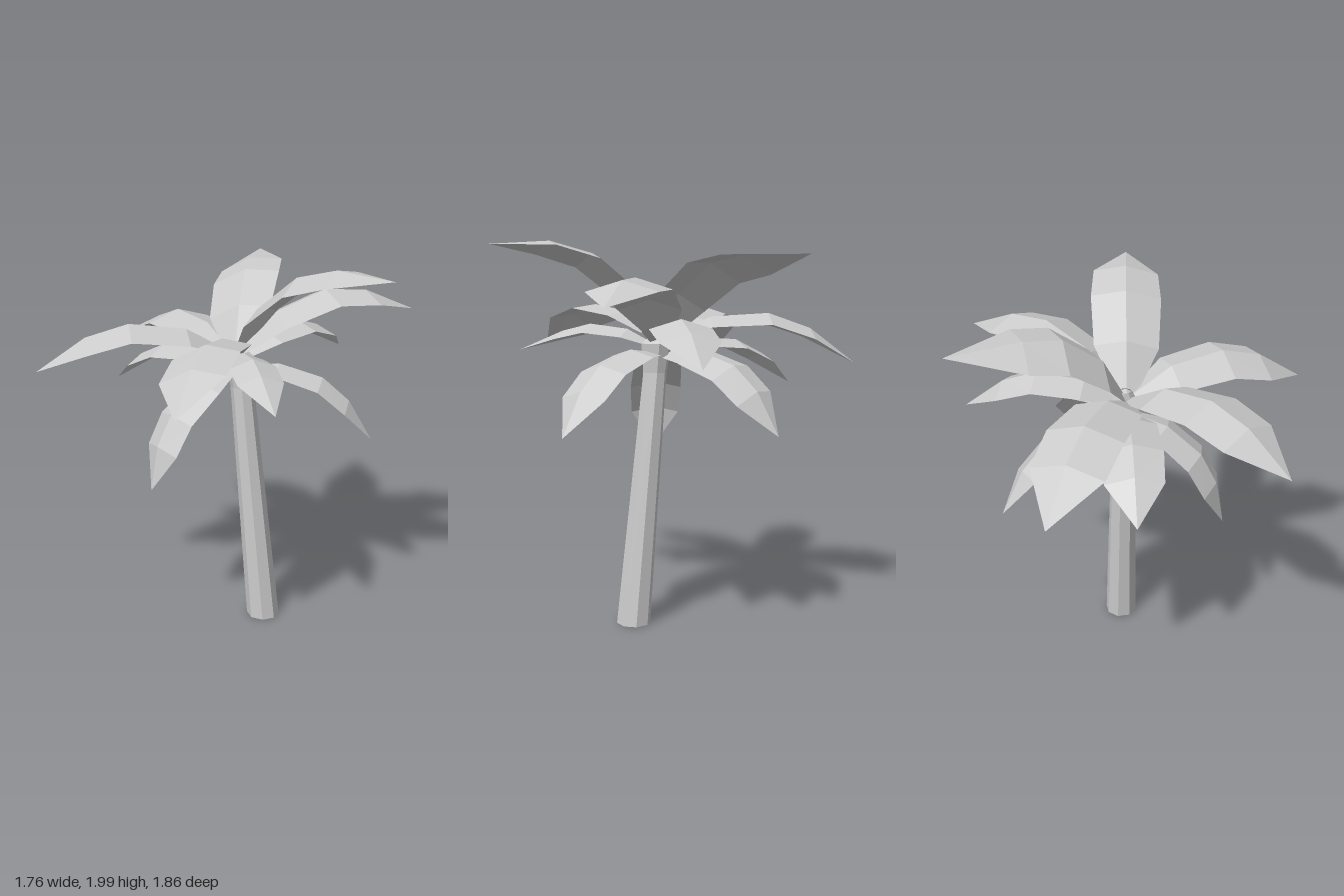
import * as THREE from 'three';

const material = new THREE.MeshStandardMaterial({ color: 0xcccccc, flatShading: true, side: THREE.DoubleSide });

// Leaning eight-sided trunk, open below, that flares under the crown and narrows to a small bud
function makeTrunk() {
  const rings = [ // y, centre x, radius
    [1.55, 0.0, 0.03],
    [1.48, 0.037, 0.08],
    [1.33, 0.047, 0.062],
    [0, 0.183, 0.09],
  ];
  const geometry = new THREE.CylinderGeometry(1, 1, 1, 8, 3, true).rotateY(Math.PI / 8);
  const p = geometry.attributes.position;
  for (let i = 0; i < p.count; i++) {
    const [y, cx, r] = rings[Math.round((0.5 - p.getY(i)) * 3)];
    p.setXYZ(i, cx + p.getX(i) * r, y, -0.06 + p.getZ(i) * r);
  }
  geometry.computeVertexNormals();
  const trunk = new THREE.Mesh(geometry, material);
  trunk.name = 'trunk';
  return trunk;
}

// Frond cross-sections as fractions of length: distance along, arch height, half width, ridge drop
const sections = [
  [0, 0, 0.035, 0.01],
  [0.24, 0.16, 0.165, 0.05],
  [0.525, 0.213, 0.182, 0.055],
  [0.745, 0.16, 0.172, 0.05],
  [1, 0, 0, 0],
];

// Arched, ridged leaf from a base point to a tip. roll tilts one edge down;
// width and bend scale the section; reach pulls the middle sections to the base
function makeFrond(baseY, tip, { roll = 0, width = 1, bend = 1, reach = 1 } = {}) {
  const base = new THREE.Vector3(0.01, baseY, -0.05);
  const along = new THREE.Vector3(...tip).sub(base);
  const length = along.length();
  along.normalize();
  const side = new THREE.Vector3(0, 1, 0).cross(along).normalize();
  const up = along.clone().cross(side);

  const geometry = new THREE.PlaneGeometry(1, 1, 2, 4);
  const p = geometry.attributes.position;
  for (let i = 0; i < p.count; i++) {
    const [t, arch, half, drop] = sections[Math.floor(i / 3)];
    const s = (i % 3) - 1;
    const x = s * half * width;
    const y = arch * bend - drop * Math.abs(s) + x * roll;
    const z = t < 1 ? t * reach : 1;
    p.setXYZ(i, x * length, y * length, z * length);
  }
  geometry.applyMatrix4(new THREE.Matrix4().makeBasis(side, up, along).setPosition(base));
  geometry.computeVertexNormals();
  const frond = new THREE.Mesh(geometry, material);
  frond.name = 'frond';
  return frond;
}

export function createModel() {
  const palm = new THREE.Group();
  palm.name = 'palmTree';
  palm.add(makeTrunk());

  const crown = new THREE.Group();
  crown.name = 'crown';
  const fronds = [ // base height, tip, shape
    // raised
    [1.5, [-0.23, 1.91, -0.93], { roll: -0.28, reach: 0.88 }],
    [1.5, [0.88, 1.97, 0.12], { roll: 0.1 }],
    [1.5, [0.75, 1.67, -0.76], { width: 0.96 }],
    // spreading
    [1.5, [0.18, 1.46, 0.93], { roll: 0.2, width: 0.92, bend: 0.95 }],
    [1.5, [-0.83, 1.45, 0.53], { bend: 0.95 }],
    [1.49, [-0.88, 1.37, -0.58], { bend: 0.95 }],
    [1.46, [0.51, 1.43, 0.61], { width: 0.78, bend: 0.75, reach: 0.9 }],
    [1.47, [0.31, 1.4, -0.85]],
    // drooping
    [1.43, [-0.78, 1.25, -0.16], { bend: 0.93 }],
    [1.43, [0.7, 1.06, -0.27]],
    [1.43, [-0.23, 1.05, -0.73], { roll: 0.25, width: 0.92 }],
    [1.43, [-0.25, 0.86, 0.41]],
  ];
  for (const f of fronds) crown.add(makeFrond(...f));
  palm.add(crown);
  return palm;
}
